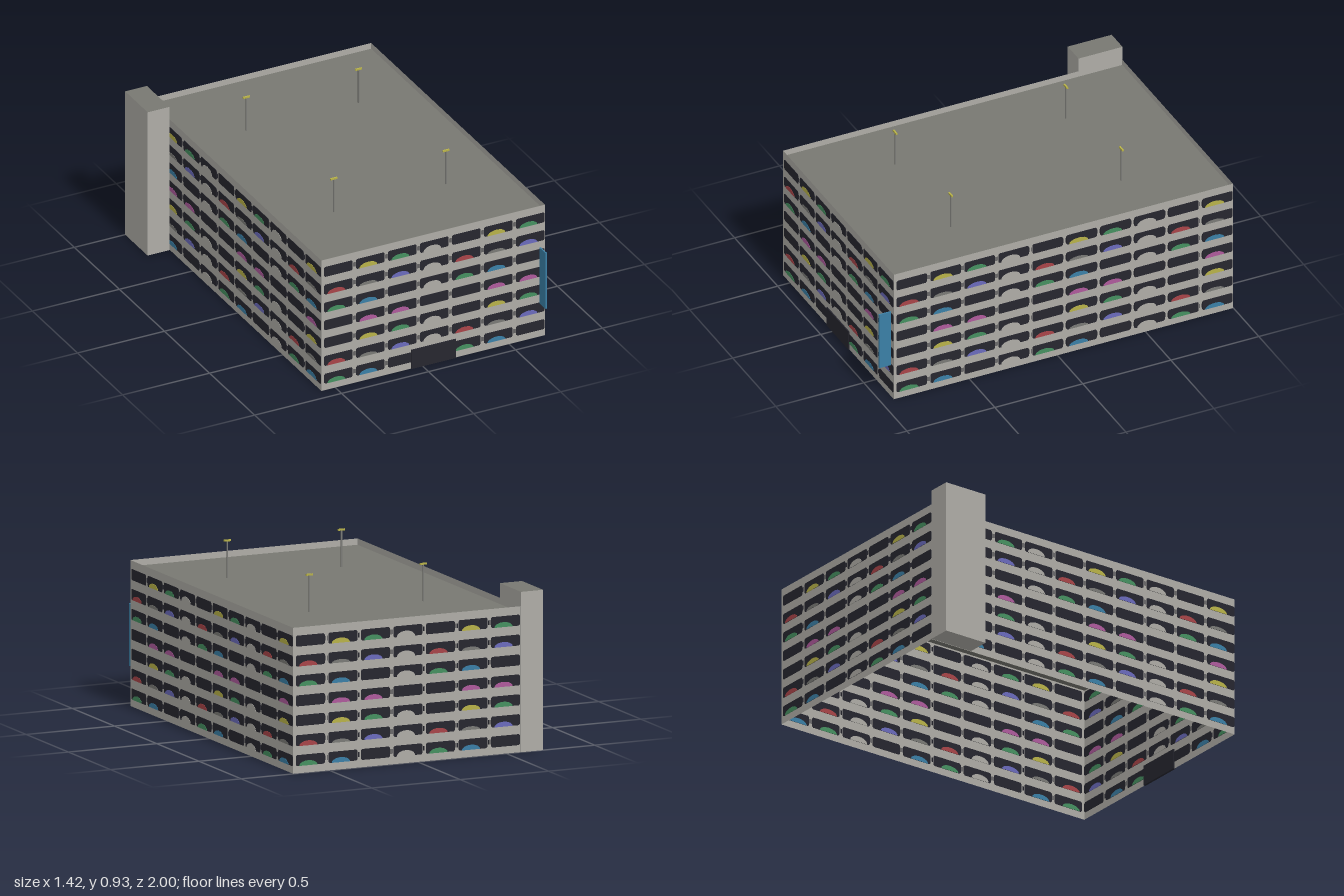
import * as THREE from 'three';
import { mergeGeometries } from 'three/addons/utils/BufferGeometryUtils.js';

function mat(name, color, side = THREE.FrontSide) {
  const m = new THREE.MeshStandardMaterial({ color, side });
  m.name = name;
  return m;
}

const M = {
  wall: mat('concrete', 0xaeaca6, THREE.DoubleSide),
  roof: mat('roofGrey', 0x787871, THREE.DoubleSide),
  dark: mat('darkOpening', 0x26262f),
  yellow: mat('yellow', 0xb8b248),
  green: mat('green', 0x459060),
  red: mat('red', 0xa84448),
  blue: mat('violetBlue', 0x6a6abc),
  cyan: mat('tealBlue', 0x3a7fa6),
  pink: mat('pink', 0xae5a9c),
  grey: mat('midGrey', 0x7a7a76),
};

// Building footprint and heights
const X0 = -0.58, X1 = 0.705, Z0 = -0.997, Z1 = 0.93, H = 0.76, ROOF = 0.727;

// Parked cars repeat every four bays and every four floors (ground floor first)
const CARS = [
  ['green', 'cyan', null, 'wall'],
  ['red', 'grey', 'blue', 'wall'],
  [null, 'yellow', 'green', 'wall'],
  [null, 'pink', 'pink', null],
];

// Thin plate centred on the wall plane, so it shows on both sides
function plate(points, halfDepth) {
  const shape = new THREE.Shape(points.map(([x, y]) => new THREE.Vector2(x, y)));
  const g = new THREE.ExtrudeGeometry(shape, { depth: halfDepth * 2, bevelEnabled: false });
  return g.translate(0, 0, -halfDepth);
}

// Opening with clipped corners
function opening(x0, x1, y0, y1) {
  const c = 0.007;
  return plate([[x0 + c, y0], [x1 - c, y0], [x1, y0 + c], [x1, y1 - c],
    [x1 - c, y1], [x0 + c, y1], [x0, y1 - c], [x0, y0 + c]], 0.0018);
}

// Low dome of a car seen behind the parapet
function carDome(cx, y0, w, h) {
  const pts = [];
  for (let i = 0; i <= 10; i++) {
    const a = (i / 10) * Math.PI;
    pts.push([cx + Math.cos(a) * w / 2, y0 + Math.sin(a) * h]);
  }
  return plate(pts, 0.003);
}

function buildWall(name, length, bays, pitch) {
  const wall = new THREE.Group();
  wall.name = name;
  const panel = new THREE.Mesh(new THREE.PlaneGeometry(length, H), M.wall);
  panel.name = name + 'Panel';
  panel.position.set(length / 2, H / 2, 0);
  wall.add(panel);

  const parts = {};
  const put = (key, g) => (parts[key] ??= []).push(g);
  for (let floor = 0; floor < 7; floor++) {
    const y = 0.038 + floor * 0.1037;
    for (let bay = 0; bay < bays; bay++) {
      const cx = 0.085 + bay * pitch;
      const left = cx - 0.07, right = Math.min(left + pitch - 0.02, length - 0.001);
      put('dark', opening(left, right, y, y + 0.057));
      // Slim railing bars between bays
      if (bay < bays - 1) {
        for (const dx of [0.006, 0.014]) {
          const bar = new THREE.BoxGeometry(0.003, 0.024, 0.0036).toNonIndexed();
          put('dark', bar.translate(right + dx, y + 0.03, 0));
        }
      }
      const car = CARS[floor % 4][bay % 4];
      if (car) {
        const h = car === 'grey' ? 0.018 : car === 'wall' ? 0.03 : 0.026;
        put(car, carDome(cx, y, pitch * 0.56, h));
      }
    }
  }
  for (const [key, list] of Object.entries(parts)) {
    const mesh = new THREE.Mesh(mergeGeometries(list), M[key]);
    mesh.name = key === 'dark' ? 'openings' : key + 'Cars';
    wall.add(mesh);
  }
  return wall;
}

export function createModel() {
  const model = new THREE.Group();
  model.name = 'parkingGarage';

  const box = (name, material, size, pos) => {
    const mesh = new THREE.Mesh(new THREE.BoxGeometry(...size), material);
    mesh.name = name;
    mesh.position.set(...pos);
    model.add(mesh);
    return mesh;
  };

  // Four walls, each starting at its left end as seen from outside
  const W = X1 - X0, D = Z1 - Z0;
  const walls = [
    ['frontWall', W, 7, 0.184, X0, Z1, 0],
    ['rightWall', D, 10, 0.193, X1, Z1, Math.PI / 2],
    ['backWall', W, 7, 0.184, X1, Z0, Math.PI],
    ['leftWall', D, 10, 0.193, X0, Z0, -Math.PI / 2],
  ];
  for (const [name, length, bays, pitch, x, z, turn] of walls) {
    const wall = buildWall(name, length, bays, pitch);
    wall.position.set(x, 0, z);
    wall.rotation.y = turn;
    model.add(wall);
  }

  // Roof deck, below the parapet; the underside is open to the inside
  const roof = new THREE.Mesh(new THREE.PlaneGeometry(W, D), M.roof);
  roof.name = 'roofDeck';
  roof.rotation.x = -Math.PI / 2;
  roof.position.set((X0 + X1) / 2, ROOF, (Z0 + Z1) / 2);
  model.add(roof);

  // Stair tower with a darker cap
  const w = M.wall;
  box('stairTower', [w, w, M.roof, w, w, w], [0.125, 0.835, 0.25], [-0.6455, 0.4175, -0.875]);

  // Entrance and hanging sign
  box('entrance', M.dark, [0.255, 0.11, 0.012], [0.0625, 0.055, Z1]);
  box('sign', M.cyan, [0.008, 0.325, 0.067], [0.676, 0.3575, 0.9665]);

  // Roof lamps
  for (const x of [-0.26, 0.385]) {
    for (const z of [-0.52, 0.45]) {
      box('lampPole', M.grey, [0.006, 0.92 - ROOF, 0.006], [x, (0.92 + ROOF) / 2, z]);
      box('lampHead', M.yellow, [0.038, 0.009, 0.009], [x, 0.922, z]);
    }
  }
  return model;
}
